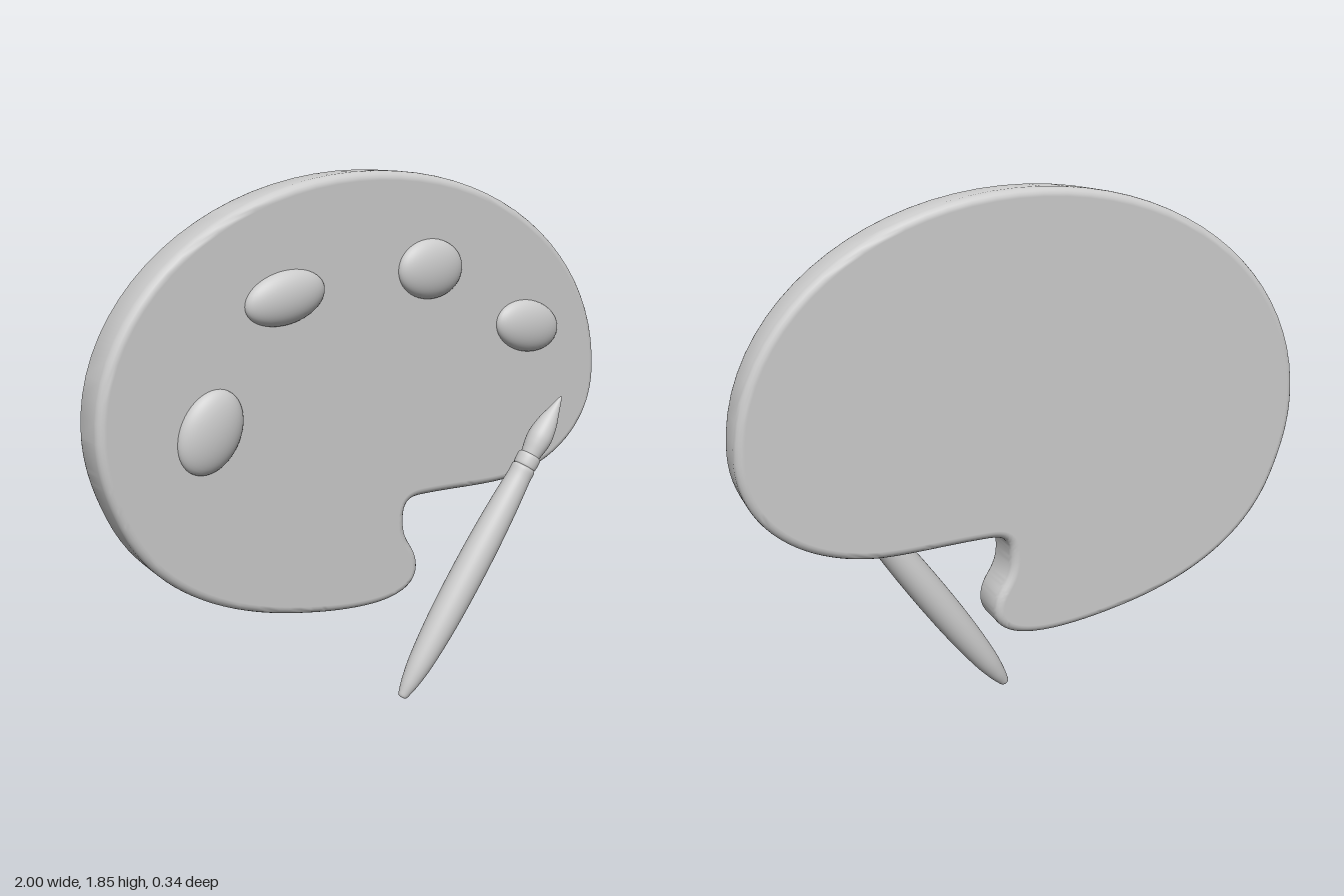
import * as THREE from 'three';
import { toCreasedNormals } from 'three/addons/utils/BufferGeometryUtils.js';

const material = new THREE.MeshStandardMaterial({ color: 0xcccccc });

function add(parent, name, geometry) {
  const mesh = new THREE.Mesh(geometry, material);
  mesh.name = name;
  parent.add(mesh);
  return mesh;
}

// Kidney-shaped board with a thumb notch and softly rounded rims
function boardGeometry() {
  const s = new THREE.Shape();
  s.moveTo(0, 1.845);
  s.bezierCurveTo(-0.56, 1.845, -1, 1.5, -1, 1.07);
  s.bezierCurveTo(-1, 0.96, -0.97, 0.87, -0.935, 0.785);
  s.bezierCurveTo(-0.83, 0.53, -0.56, 0.41, -0.29, 0.36);
  s.bezierCurveTo(-0.19, 0.34, -0.1, 0.33, -0.03, 0.33);
  s.bezierCurveTo(0.1, 0.33, 0.17, 0.37, 0.17, 0.44);
  s.bezierCurveTo(0.17, 0.52, 0.11, 0.53, 0.11, 0.625);
  s.bezierCurveTo(0.11, 0.69, 0.13, 0.705, 0.19, 0.705);
  s.bezierCurveTo(0.34, 0.705, 0.47, 0.69, 0.58, 0.698);
  s.bezierCurveTo(0.82, 0.72, 1, 0.86, 1, 1.07);
  s.bezierCurveTo(1, 1.5, 0.56, 1.845, 0, 1.845);

  const bevel = 0.03, thickness = 0.17;
  const raw = new THREE.ExtrudeGeometry(s, {
    depth: thickness - 2 * bevel, curveSegments: 20, bevelSegments: 5,
    bevelThickness: bevel, bevelSize: bevel, bevelOffset: -bevel,
  });
  raw.translate(0, 0, bevel - thickness);
  const g = toCreasedNormals(raw, 0.8);
  // Keep both faces flat-shaded right up to the rounded rim
  const p = g.attributes.position, n = g.attributes.normal;
  for (let i = 0; i < p.count; i++) {
    if (p.getZ(i) > -1e-4) n.setXYZ(i, 0, 0, 1);
    else if (p.getZ(i) < -thickness + 1e-4) n.setXYZ(i, 0, 0, -1);
  }
  return g;
}

// Turned part: a smooth curve through [radius, height] pairs, spun about y
function turned(points) {
  const curve = new THREE.SplineCurve(points.map(([r, y]) => new THREE.Vector2(r, y)));
  const profile = curve.getPoints(points.length * 5);
  profile.forEach((v) => { v.x = Math.max(v.x, 0); });
  return new THREE.LatheGeometry(profile, 40);
}

export function createModel() {
  const model = new THREE.Group();
  model.name = 'paintPalette';
  add(model, 'board', boardGeometry());

  // Paint blobs: x, y, half length, half width, tilt
  const blobs = [
    [-0.635, 1.06, 0.142, 0.104, 1.1],
    [-0.36, 1.46, 0.145, 0.085, 0.2],
    [0.205, 1.515, 0.131, 0.102, 0],
    [0.645, 1.28, 0.145, 0.094, -0.22],
  ];
  blobs.forEach(([x, y, a, b, tilt], i) => {
    const blob = add(model, `paintBlob${i + 1}`, new THREE.SphereGeometry(1, 40, 24));
    blob.scale.set(a, b, 0.049);
    blob.position.set(x, y, 0);
    blob.rotation.z = tilt;
  });

  // Brush leaning across the front of the board
  const brush = new THREE.Group();
  brush.name = 'brush';
  add(brush, 'handle', turned([
    [0, 0], [0.015, 0.004], [0.023, 0.025], [0.034, 0.07], [0.046, 0.15], [0.056, 0.29],
    [0.06, 0.45], [0.059, 0.62], [0.053, 0.78], [0.045, 0.9], [0.041, 0.947], [0, 0.949],
  ]));
  add(brush, 'ferrule', turned([
    [0.036, 0.945], [0.042, 0.95], [0.044, 0.97], [0.043, 0.99], [0.036, 0.996],
  ]));
  add(brush, 'bristles', turned([
    [0.034, 0.985], [0.039, 1.01], [0.045, 1.045], [0.046, 1.08], [0.038, 1.13],
    [0.023, 1.18], [0.009, 1.225], [0, 1.246],
  ]));
  brush.position.set(0.02, 0.004, 0.11);
  brush.rotation.z = -Math.atan2(0.71, 1.022);
  model.add(brush);
  return model;
}
